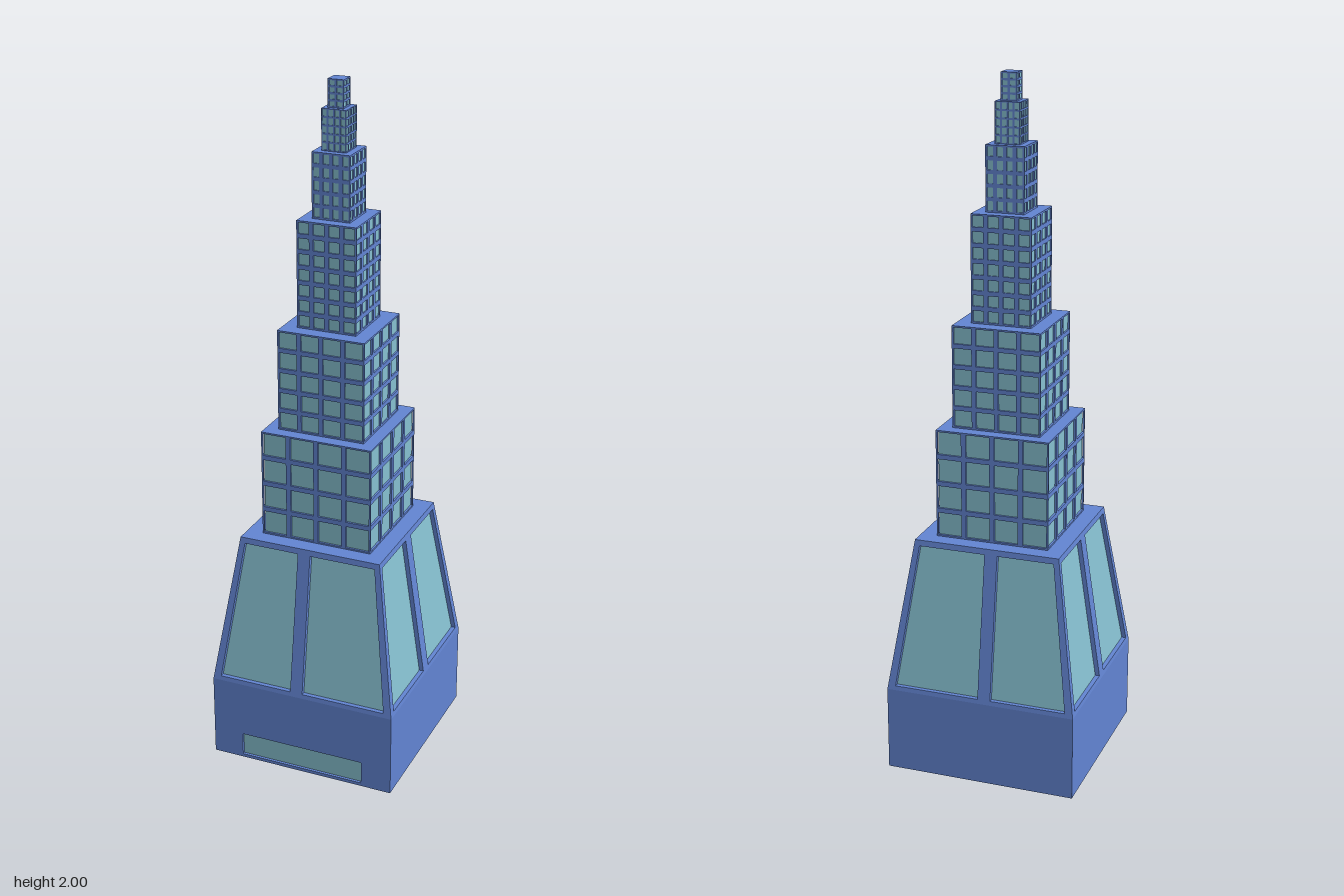
import * as THREE from 'three';

const blue = new THREE.MeshStandardMaterial({ color: 0x6284d2 });
blue.name = 'blue stone';
const glass = new THREE.MeshStandardMaterial({ color: 0x86c0d0 });
glass.name = 'pale glass';

// Box between two levels, with its own [x0, x1, z0, z1] rectangle at each level
function block(name, mat, y0, bottom, y1, top = bottom) {
  let geo = new THREE.BoxGeometry(1, 1, 1);
  const p = geo.attributes.position;
  for (let i = 0; i < p.count; i++) {
    const up = p.getY(i) > 0, r = up ? top : bottom;
    p.setXYZ(i, r[p.getX(i) > 0 ? 1 : 0], up ? y1 : y0, r[p.getZ(i) > 0 ? 3 : 2]);
  }
  geo = geo.toNonIndexed();
  geo.computeVertexNormals();
  const mesh = new THREE.Mesh(geo, mat);
  mesh.name = name;
  return mesh;
}
const square = (h) => [-h, h, -h, h];
const sorted = (a, b) => (a < b ? [a, b] : [b, a]);

// Plinth with a shallow glazed entrance let into the front
function makePlinth() {
  const g = new THREE.Group();
  g.name = 'plinth';
  const H = 0.282, zi = 0.272, w = 0.19;
  g.add(block('plinthCore', blue, 0, [-H, H, -H, zi], 0.25));
  g.add(block('entranceSill', blue, 0, [-w, w, zi, H], 0.01));
  g.add(block('entranceLintel', blue, 0.08, [-w, w, zi, H], 0.25));
  g.add(block('entranceSideRight', blue, 0, [-H, -w, zi, H], 0.25));
  g.add(block('entranceSideLeft', blue, 0, [w, H, zi, H], 0.25));
  g.add(block('entranceGlass', glass, 0.01, [-w, w, zi, zi + 0.002], 0.08));
  return g;
}

// Tapered lobby: inset glass held by corner posts, centre bars and two rims
function makeLobby() {
  const g = new THREE.Group();
  g.name = 'lobby';
  const half = (y) => 0.282 - (y - 0.25) * 0.067 / 0.45;
  const yb = 0.263, yt = 0.683, b = half(yb), t = half(yt), inset = 0.013;
  g.add(block('lowerRim', blue, 0.25, square(half(0.25)), yb, square(b)));
  g.add(block('upperRim', blue, yt, square(t), 0.7, square(half(0.7))));
  g.add(block('lobbyGlass', glass, yb, square(b - inset), yt, square(t - inset)));
  for (const sx of [-1, 1]) for (const sz of [-1, 1]) {
    const corner = (h, w) => [...sorted(sx * h, sx * (h - w)), ...sorted(sz * h, sz * (h - w))];
    g.add(block('cornerPost', blue, yb, corner(b, 0.023), yt, corner(t, 0.017)));
  }
  g.add(block('frontBackBar', blue, yb, [-0.034, 0.004, -b, b], yt, [-0.034, 0.004, -t, t]));
  g.add(block('sideBar', blue, yb, [-b, b, -0.02, 0.02], yt, [-t, t, -0.02, 0.02]));
  return g;
}

// Tower storey block: glass core crossed by floor slabs and vertical bars
function makeTier({ h, y0, y1, cols, rows, gap, edge, inset }) {
  const g = new THREE.Group();
  g.name = 'towerTier';
  g.add(block('tierGlass', glass, y0, square(h - inset), y1 - edge / 2));
  g.add(block('tierRoof', blue, y1 - edge, square(h), y1));
  g.add(block('tierFoot', blue, y0, square(h), y0 + edge));
  const rowPitch = (y1 - y0 - 2 * edge + gap) / rows;
  for (let r = 1; r < rows; r++) {
    const y = y0 + edge + r * rowPitch;
    g.add(block('floorBand', blue, y - gap, square(h), y));
  }
  const colPitch = (2 * h - 2 * edge + gap) / cols;
  for (let c = 1; c < cols; c++) {
    const x = -h + edge + c * colPitch;
    g.add(block('frontBackMullion', blue, y0, [x - gap, x, -h, h], y1));
    g.add(block('sideMullion', blue, y0, [-h, h, x - gap, x], y1));
  }
  for (const sx of [-1, 1]) for (const sz of [-1, 1]) {
    g.add(block('tierCorner', blue, y0,
      [...sorted(sx * h, sx * (h - edge)), ...sorted(sz * h, sz * (h - edge))], y1));
  }
  return g;
}

export function createModel() {
  const model = new THREE.Group();
  model.name = 'steppedTower';
  model.add(makePlinth(), makeLobby());
  const tiers = [
    { h: 0.167, y0: 0.7, y1: 1.018, cols: 4, rows: 4, gap: 0.014, edge: 0.005, inset: 0.006 },
    { h: 0.13, y0: 1.018, y1: 1.315, cols: 4, rows: 5, gap: 0.013, edge: 0.005, inset: 0.005 },
    { h: 0.088, y0: 1.315, y1: 1.623, cols: 4, rows: 7, gap: 0.013, edge: 0.005, inset: 0.004 },
    { h: 0.056, y0: 1.623, y1: 1.808, cols: 4, rows: 5, gap: 0.011, edge: 0.005, inset: 0.003 },
    { h: 0.036, y0: 1.808, y1: 1.923, cols: 4, rows: 5, gap: 0.005, edge: 0.003, inset: 0.002 },
    { h: 0.023, y0: 1.923, y1: 2.0, cols: 2, rows: 4, gap: 0.006, edge: 0.004, inset: 0.002 },
  ];
  for (const tier of tiers) model.add(makeTier(tier));
  return model;
}
